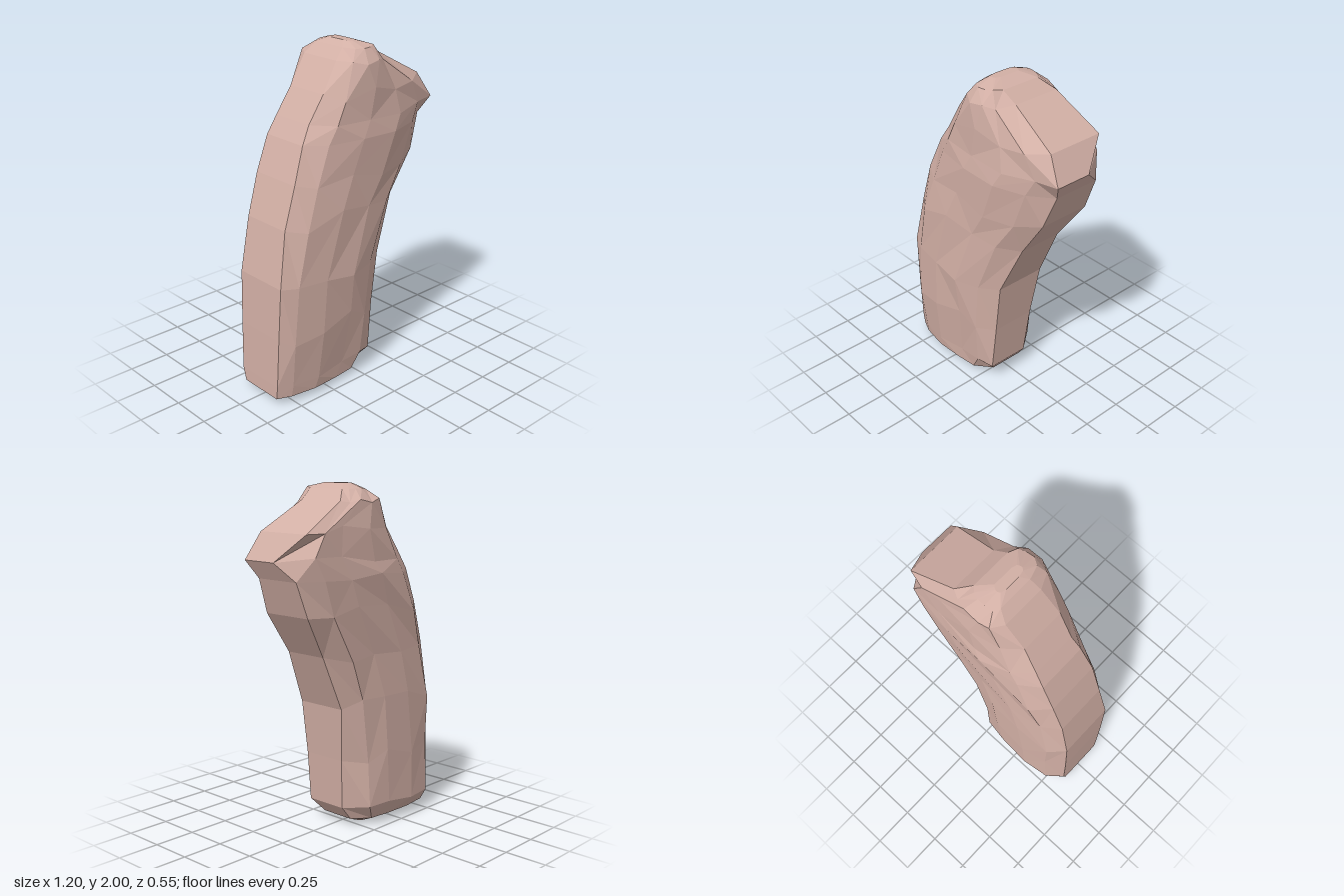
import * as THREE from 'three';

// Small seeded generator for the rough, chipped surface
function makeRandom(seed) {
  let s = seed;
  return () => {
    s = (s * 16807) % 2147483647;
    return s / 2147483647 * 2 - 1;
  };
}

// Cross-sections: height, left x, right x, front z, back z, left edge front z and back z,
// right edge front z and back z, then depth of the front and back right shoulders
const RINGS = [
  [0.00, -0.46, -0.06, 0.10, -0.11, 0.05, -0.06, 0.05, -0.09, 0.09, -0.10],
  [0.04, -0.60, 0.04, 0.21, -0.20, 0.15, -0.13, 0.11, -0.10, 0.19, -0.18],
  [0.12, -0.60, 0.10, 0.22, -0.25, 0.17, -0.15, 0.16, -0.08, 0.20, -0.22],
  [0.42, -0.595, 0.13, 0.25, -0.25, 0.18, -0.15, 0.17, -0.10, 0.23, -0.22],
  [0.74, -0.585, 0.17, 0.27, -0.25, 0.18, -0.15, 0.17, -0.14, 0.24, -0.22],
  [1.06, -0.525, 0.31, 0.265, -0.26, 0.17, -0.15, 0.14, -0.15, 0.22, -0.23],
  [1.30, -0.45, 0.47, 0.26, -0.265, 0.15, -0.15, 0.12, -0.19, 0.205, -0.24],
  [1.50, -0.37, 0.545, 0.26, -0.27, 0.14, -0.15, 0.12, -0.18, 0.20, -0.245],
  [1.60, -0.31, 0.60, 0.25, -0.265, 0.13, -0.15, 0.15, -0.05, 0.20, -0.24],
  [1.75, -0.215, 0.51, 0.245, -0.25, 0.12, -0.15, 0.12, -0.23, 0.195, -0.24],
  [1.91, -0.10, 0.22, 0.23, -0.24, 0.10, -0.15, 0.10, -0.19, 0.19, -0.22],
  [1.97, -0.04, 0.14, 0.19, -0.17, 0.09, -0.12, 0.12, -0.12, 0.17, -0.15],
  [2.00, 0.00, 0.06, 0.10, -0.08, 0.05, -0.04, 0.06, -0.06, 0.09, -0.07],
];

// One section as [across, z], from the left edge around the front, right and back
function outline([, , , zf, zb, lf, lb, rf, rb, sf, sb]) {
  return [
    [-1, lf], [-0.74, zf * 0.88], [-0.25, zf], [0.28, zf * 0.97], [0.7, sf], [1, rf],
    [1, rb], [0.7, sb], [0.28, zb * 0.98], [-0.25, zb], [-0.74, zb * 0.9], [-1, lb],
  ];
}

function boulderGeometry() {
  const random = makeRandom(4127);
  const last = RINGS.length - 1;
  const rings = RINGS.map((ring, i) => {
    const [y, xl, xr] = ring;
    // Chips stay smaller than the gap to the neighbouring sections
    const gap = i > 1 && i < last ? Math.min(y - RINGS[i - 1][0], RINGS[i + 1][0] - y) : 0;
    return outline(ring).map(([u, z]) => {
      const chip = Math.abs(u) === 1 ? 0 : gap * 0.3;
      // Shifted points slide along the lean of the rock
      const rise = random() * chip;
      return new THREE.Vector3(
        (xl + xr) / 2 + u * (xr - xl) / 2 + rise * 0.4,
        y + rise,
        z + random() * Math.min(gap * 0.15, 0.012)
      );
    });
  });

  const count = rings[0].length;
  const points = [];
  const tri = (...corners) => points.push(...corners);
  // Sides, each quad split along a varying diagonal
  for (let i = 0; i < last; i++) {
    for (let j = 0; j < count; j++) {
      const k = (j + 1) % count;
      const a = rings[i][j], b = rings[i][k], c = rings[i + 1][k], d = rings[i + 1][j];
      if (random() > 0) { tri(a, b, c); tri(a, c, d); }
      else { tri(a, b, d); tri(b, c, d); }
    }
  }
  // Flat base and crown
  for (let j = 1; j < count - 1; j++) {
    tri(rings[0][0], rings[0][j + 1], rings[0][j]);
    tri(rings[last][0], rings[last][j], rings[last][j + 1]);
  }
  const geometry = new THREE.BufferGeometry().setFromPoints(points);
  geometry.computeVertexNormals();
  return geometry;
}

export function createModel() {
  const group = new THREE.Group();
  group.name = 'standingRock';
  const stone = new THREE.MeshStandardMaterial({ color: 0xd2afa5 });
  stone.name = 'dusty pink stone';

  const boulder = new THREE.Mesh(boulderGeometry(), stone);
  boulder.name = 'boulder';
  group.add(boulder);
  return group;
}
